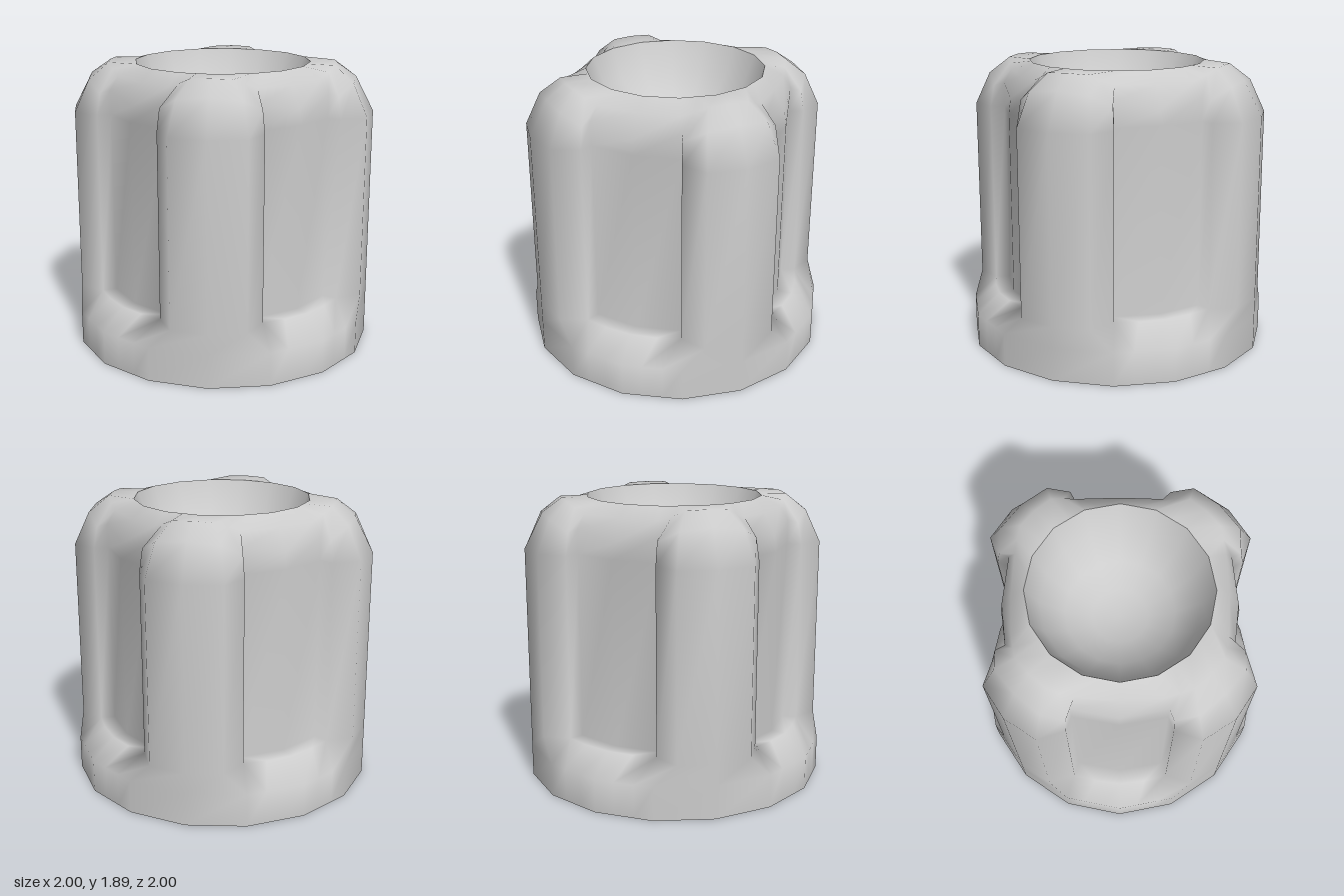
import * as THREE from 'three';
import { mergeVertices } from 'three/addons/utils/BufferGeometryUtils.js';

// Each level is an eighth of a closed loop, as [x, y, z] points from the
// middle of a rib (on the x axis) to the middle of a recess (on the diagonal).
const polar = (r, y, degrees) => {
  const a = THREE.MathUtils.degToRad(degrees);
  return [r * Math.cos(a), y, r * Math.sin(a)];
};

// Level with the rib section at a constant height
const ribLevel = (y) => [[1, y, 0], [0.95, y, 0.24], [0.785, y, 0.325], [0.70, y, 0.285], [0.53, y, 0.53]];

// Sixteen-sided foot: the two middle points lie on one straight side
const footLevel = (y) => {
  const b = polar(1, y, 22.5), f = polar(1, y, 45);
  const mix = (t) => b.map((v, i) => v + (f[i] - v) * t);
  return [[1, y, 0], b, mix(0.33), mix(0.67), f];
};

// Mirror an eighth across the diagonal, then repeat it round four quarters
function fullLoop(eighth) {
  const mirrored = eighth.slice(1, 4).reverse().map(([x, y, z]) => [z, y, x]);
  const quarter = [...eighth, ...mirrored];
  const loop = [];
  for (let q = 0; q < 4; q++) {
    for (const [x, y, z] of quarter) {
      loop.push([[x, y, z], [-z, y, x], [-x, y, -z], [z, y, -x]][q]);
    }
  }
  return loop;
}

// Smooth surface through a stack of loops
function loft(levels) {
  const loops = levels.map(fullLoop);
  const n = loops[0].length;
  const index = [];
  for (let k = 0; k < loops.length - 1; k++) {
    for (let i = 0; i < n; i++) {
      const j = (i + 1) % n;
      const a = k * n + i, b = k * n + j, c = b + n, d = a + n;
      index.push(a, d, b, b, d, c);
    }
  }
  const geometry = new THREE.BufferGeometry();
  geometry.setAttribute('position', new THREE.Float32BufferAttribute(loops.flat(2), 3));
  geometry.setIndex(index);
  const merged = mergeVertices(geometry, 1e-4);
  merged.computeVertexNormals();
  return merged;
}

export function createModel() {
  const group = new THREE.Group();
  group.name = 'ribbedCap';
  const material = new THREE.MeshStandardMaterial({ color: 0xcccccc, side: THREE.DoubleSide });

  // Open-bottomed shell: foot ring, ledges, ribs with recesses, rounded shoulder, rim
  const rimHeight = 1.89;
  const rimMid = 0.58 * Math.cos(Math.PI / 16);
  const shell = new THREE.Mesh(loft([
    footLevel(0),
    footLevel(0.22),
    [[1, 0.36, 0], [0.95, 0.36, 0.24], [0.785, 0.36, 0.325], [0.71, 0.36, 0.46], [0.6, 0.36, 0.6]],
    ribLevel(0.36),
    ribLevel(1.57),
    [[0.88, 1.8, 0], [0.86, 1.78, 0.2], [0.765, 1.71, 0.31], [0.70, 1.73, 0.285], [0.52, 1.67, 0.52]],
    [[0.75, 1.89, 0], [0.74, 1.885, 0.13], [0.70, 1.85, 0.2], [0.65, 1.82, 0.27], [0.47, 1.81, 0.47]],
    [polar(0.58, rimHeight, 0), polar(rimMid, rimHeight, 11.25), polar(0.58, rimHeight, 22.5),
      polar(rimMid, rimHeight, 33.75), polar(0.58, rimHeight, 45)],
  ]), material);
  shell.name = 'ribbedShell';
  group.add(shell);

  // Round dish sunk into the top
  const dishProfile = [[0, 1.45], [0.18, 1.47], [0.35, 1.54], [0.5, 1.69], [0.58, rimHeight]]
    .map(([r, y]) => new THREE.Vector2(r, y));
  const dish = new THREE.Mesh(new THREE.LatheGeometry(dishProfile, 16), material);
  dish.name = 'topDish';
  // Lathe profile runs upward, so reverse the faces to point into the dish
  dish.geometry = flip(dish.geometry);
  group.add(dish);

  return group;
}

// Reverse the winding so that normals point up and inward
function flip(geometry) {
  const a = geometry.index.array;
  for (let i = 0; i < a.length; i += 3) [a[i], a[i + 1]] = [a[i + 1], a[i]];
  geometry.deleteAttribute('normal');
  geometry.deleteAttribute('uv');
  const merged = mergeVertices(geometry, 1e-4);
  merged.computeVertexNormals();
  return merged;
}
